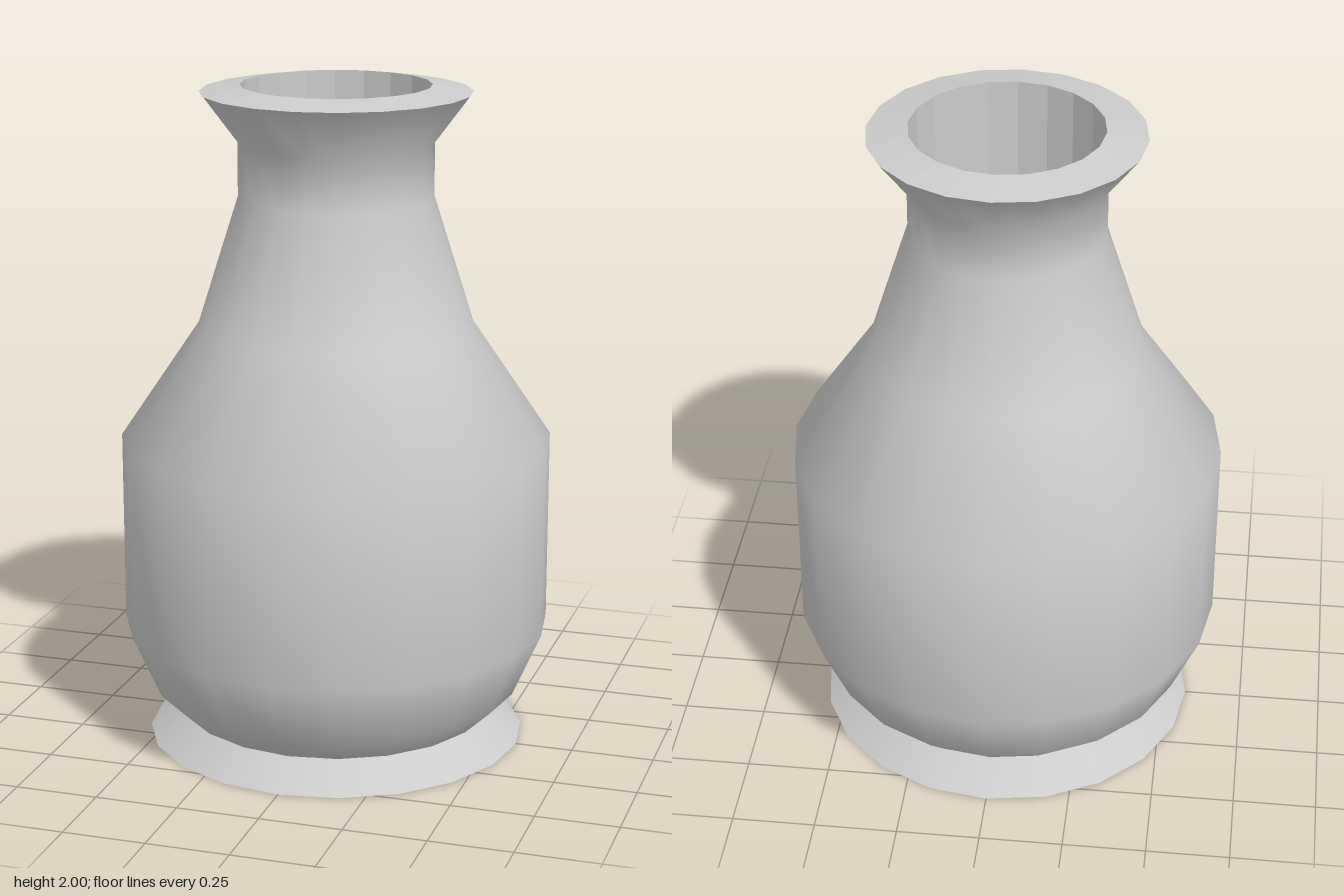
import * as THREE from 'three';

const SIDES = 20;
const smooth = new THREE.MeshStandardMaterial({ color: 0xcccccc });
const faceted = new THREE.MeshStandardMaterial({ color: 0xcccccc, flatShading: true });

// Turns a [radius, height] profile around the y axis; a profile running upwards faces outwards.
function turned(name, profile, material) {
  const points = profile.map(([r, y]) => new THREE.Vector2(r, y));
  const mesh = new THREE.Mesh(new THREE.LatheGeometry(points, SIDES), material);
  mesh.name = name;
  return mesh;
}

export function createModel() {
  const vase = new THREE.Group();
  vase.name = 'vase';

  vase.add(
    // Closed underside and flared foot
    turned('base', [[0, 0], [0.575, 0]], faceted),
    turned('foot', [[0.575, 0], [0.475, 0.08]], smooth),

    // Outer wall from the foot up to the flared lip
    turned('body', [
      [0.475, 0.08], [0.56, 0.16], [0.647, 0.36], [0.647, 0.94],
      [0.41, 1.29], [0.29, 1.67], [0.29, 1.83], [0.402, 1.98],
    ], smooth),

    // Gently sloping top of the lip
    turned('rim', [[0.402, 1.98], [0.282, 2]], faceted),

    // Straight bore of the neck, then the hollow inside the body
    turned('neckBore', [[0.282, 2], [0.282, 1.67]], faceted),
    turned('hollow', [
      [0.282, 1.67], [0.39, 1.29], [0.62, 0.93], [0.62, 0.37],
      [0.54, 0.18], [0.46, 0.11], [0, 0.09],
    ], smooth),
  );

  return vase;
}
